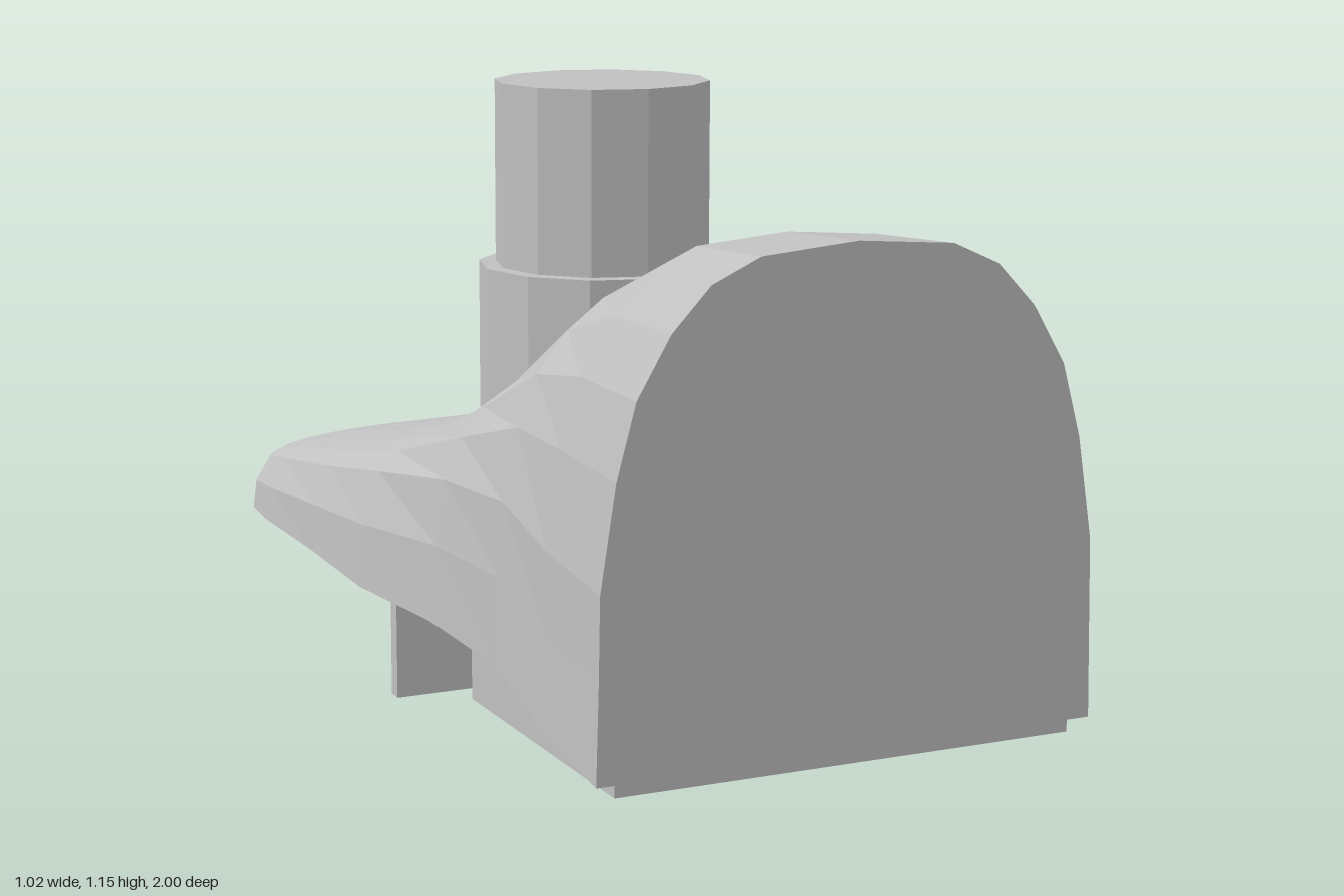
import * as THREE from 'three';

const grey = new THREE.MeshStandardMaterial({ color: 0xc0c0c0, flatShading: true });
grey.name = 'plain grey';

// Half profiles from base to crown: [fraction of half width, fraction of height]
const arched = [[1, 0], [0.99, 0.2], [0.985, 0.37], [0.925, 0.58], [0.85, 0.73], [0.72, 0.85], [0.57, 0.936], [0.38, 0.983], [0, 1]];
const low = [[1, 0], [0.985, 0.375], [0.92, 0.69], [0.84, 0.8], [0.74, 0.87], [0.6, 0.93], [0.45, 0.965], [0.25, 0.988], [0, 1]];

// Stations from the open end to the rounded tip: z, half width, base y, crown y, blend to low profile
const stations = [
  [1, 0.47, 0.11, 0.975, 0], [0.75, 0.455, 0.13, 0.957, 0.03], [0.54, 0.452, 0.19, 0.868, 0.2],
  [0.3, 0.475, 0.21, 0.695, 0.55], [0, 0.508, 0.21, 0.53, 1], [-0.3, 0.497, 0.21, 0.455, 1],
  [-0.6, 0.495, 0.21, 0.392, 1], [-0.71, 0.483, 0.21, 0.366, 1], [-0.83, 0.43, 0.21, 0.338, 1],
  [-0.925, 0.33, 0.21, 0.317, 1], [-1, 0.17, 0.21, 0.298, 1],
];

function bodyGeometry() {
  const positions = [], index = [];
  const n = arched.length * 2 - 1;
  for (const [z, w, base, crown, k] of stations) {
    for (let j = 0; j < n; j++) {
      const side = j < arched.length ? 1 : -1;
      const m = side > 0 ? j : n - 1 - j;
      const x = THREE.MathUtils.lerp(arched[m][0], low[m][0], k);
      const y = THREE.MathUtils.lerp(arched[m][1], low[m][1], k);
      positions.push(side * x * w, base + y * (crown - base), z);
    }
  }
  // Skin, including the flat underside
  for (let i = 0; i < stations.length - 1; i++) {
    for (let j = 0; j < n; j++) {
      const a = i * n + j, c = i * n + (j + 1) % n;
      index.push(a, a + n, c, c, a + n, c + n);
    }
  }
  // End caps
  const last = (stations.length - 1) * n;
  for (let j = 1; j < n - 1; j++) {
    index.push(0, j, j + 1, last, last + j + 1, last + j);
  }
  const g = new THREE.BufferGeometry();
  g.setAttribute('position', new THREE.Float32BufferAttribute(positions, 3));
  g.setIndex(index);
  g.computeVertexNormals();
  return g;
}

export function createModel() {
  const group = new THREE.Group();
  group.name = 'shoeShapedBody';

  const add = (name, geometry) => {
    const mesh = new THREE.Mesh(geometry, grey);
    mesh.name = name;
    group.add(mesh);
    return mesh;
  };
  // Box given by half width, y range and z range
  const box = (name, hw, y0, y1, z0, z1) =>
    add(name, new THREE.BoxGeometry(hw * 2, y1 - y0, z1 - z0)).position.set(0, (y0 + y1) / 2, (z0 + z1) / 2);
  const pipe = (name, r, y0, y1) =>
    add(name, new THREE.CylinderGeometry(r, r, y1 - y0, 12)).position.set(0, (y0 + y1) / 2, -0.006);

  add('body', bodyGeometry());

  // Vertical pipe with its collar
  pipe('collar', 0.238, 0.38, 0.8);
  pipe('pipe', 0.206, 0.7, 1.15);

  // Underside plates and blade
  box('deepPad', 0.433, 0.085, 0.24, 0.38, 0.99);
  box('narrowStrip', 0.433, 0.176, 0.23, 0.128, 0.213);
  box('blade', 0.455, 0, 0.23, 0.025, 0.055);
  box('longPlate', 0.433, 0.176, 0.225, -0.845, 0.02);

  return group;
}
